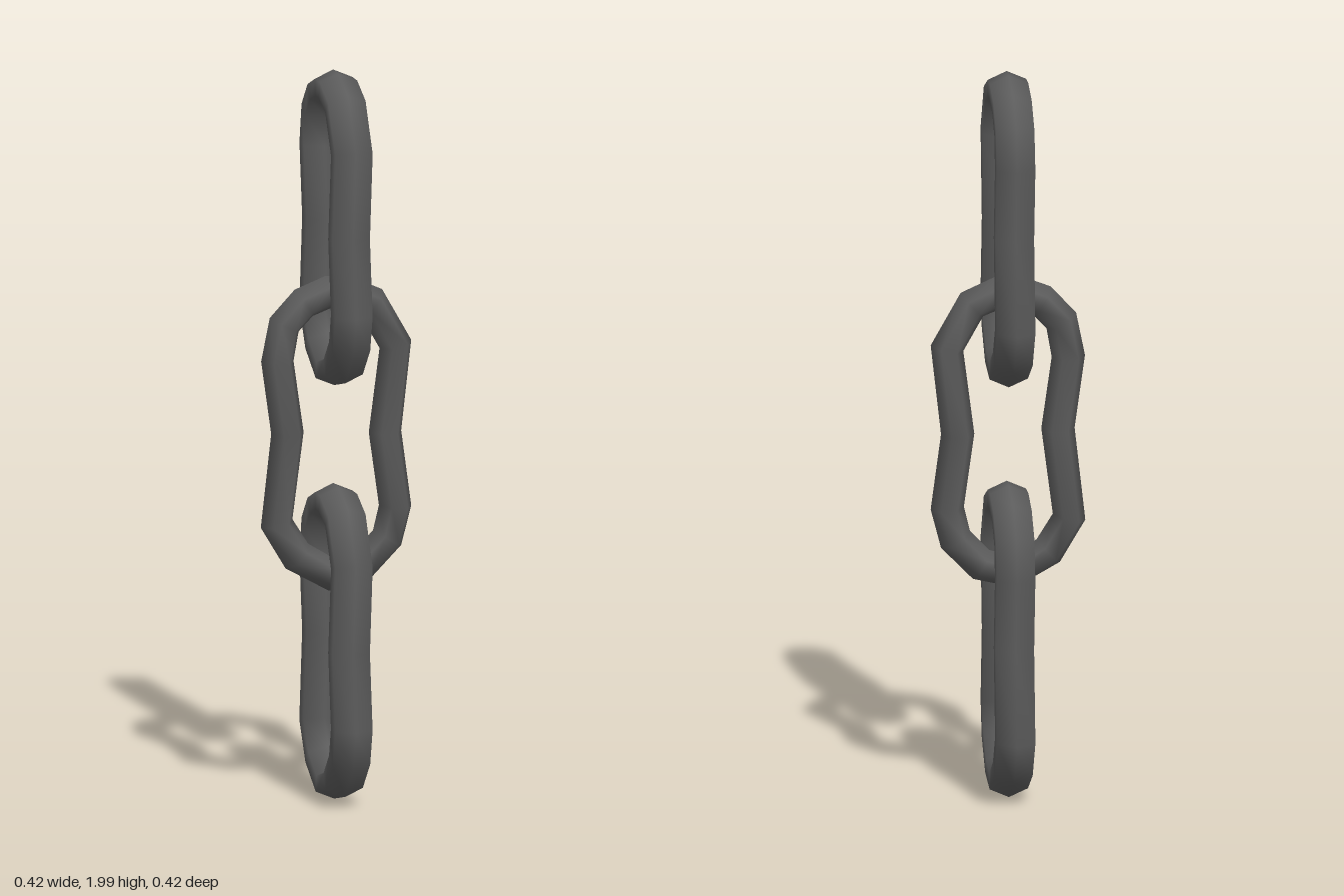
import * as THREE from 'three';

// Outer outline of one link, counter-clockwise, relative to the chain's top link
const OUTLINE = [
  [0.209, 1.813], [0.128, 1.956], [0.03, 2.0], [-0.03, 2.0], [-0.115, 1.967],
  [-0.184, 1.893], [-0.208, 1.775], [-0.18, 1.575], [-0.209, 1.32], [-0.14, 1.205],
  [-0.02, 1.138], [0.095, 1.165], [0.181, 1.253], [0.209, 1.36], [0.181, 1.567],
];
const SIDES = 6;
const DEPTH = 0.045; // bar radius in the plane of the link
const WIDTH = 0.06;  // bar radius across the link

// Sweeps a hexagonal bar just inside the closed outline
function linkGeometry() {
  const n = OUTLINE.length;
  const positions = [];
  const index = [];
  for (let i = 0; i < n; i++) {
    const p = new THREE.Vector2(...OUTLINE[i]);
    const before = p.clone().sub(new THREE.Vector2(...OUTLINE[(i + n - 1) % n])).normalize();
    const after = new THREE.Vector2(...OUTLINE[(i + 1) % n]).sub(p).normalize();
    const t = before.add(after).normalize();
    for (let j = 0; j < SIDES; j++) {
      const a = (j / SIDES) * Math.PI * 2;
      const inset = DEPTH * (Math.cos(a) - 1);
      positions.push(p.x + t.y * inset, p.y - t.x * inset, WIDTH * Math.sin(a));
      const next = ((i + 1) % n) * SIDES;
      const k = (j + 1) % SIDES;
      const A = i * SIDES + j, B = next + j, C = next + k, D = i * SIDES + k;
      index.push(A, B, C, A, C, D);
    }
  }
  const geometry = new THREE.BufferGeometry();
  geometry.setAttribute('position', new THREE.Float32BufferAttribute(positions, 3));
  geometry.setIndex(index);
  geometry.computeVertexNormals();
  return geometry;
}

export function createModel() {
  const chain = new THREE.Group();
  chain.name = 'chain';
  const iron = new THREE.MeshStandardMaterial({ color: 0x5c5c5c });
  iron.name = 'dark iron';
  const geometry = linkGeometry();

  // Three links, each turned a quarter from its neighbour
  ['topLink', 'middleLink', 'bottomLink'].forEach((name, i) => {
    const link = new THREE.Mesh(geometry, iron);
    link.name = name;
    link.position.y = -0.565 * i + (i === 1 ? 0.007 : 0);
    link.rotation.y = i === 1 ? 0 : -Math.PI / 2;
    if (i === 2) link.position.y = -1.132;
    chain.add(link);
  });
  return chain;
}
